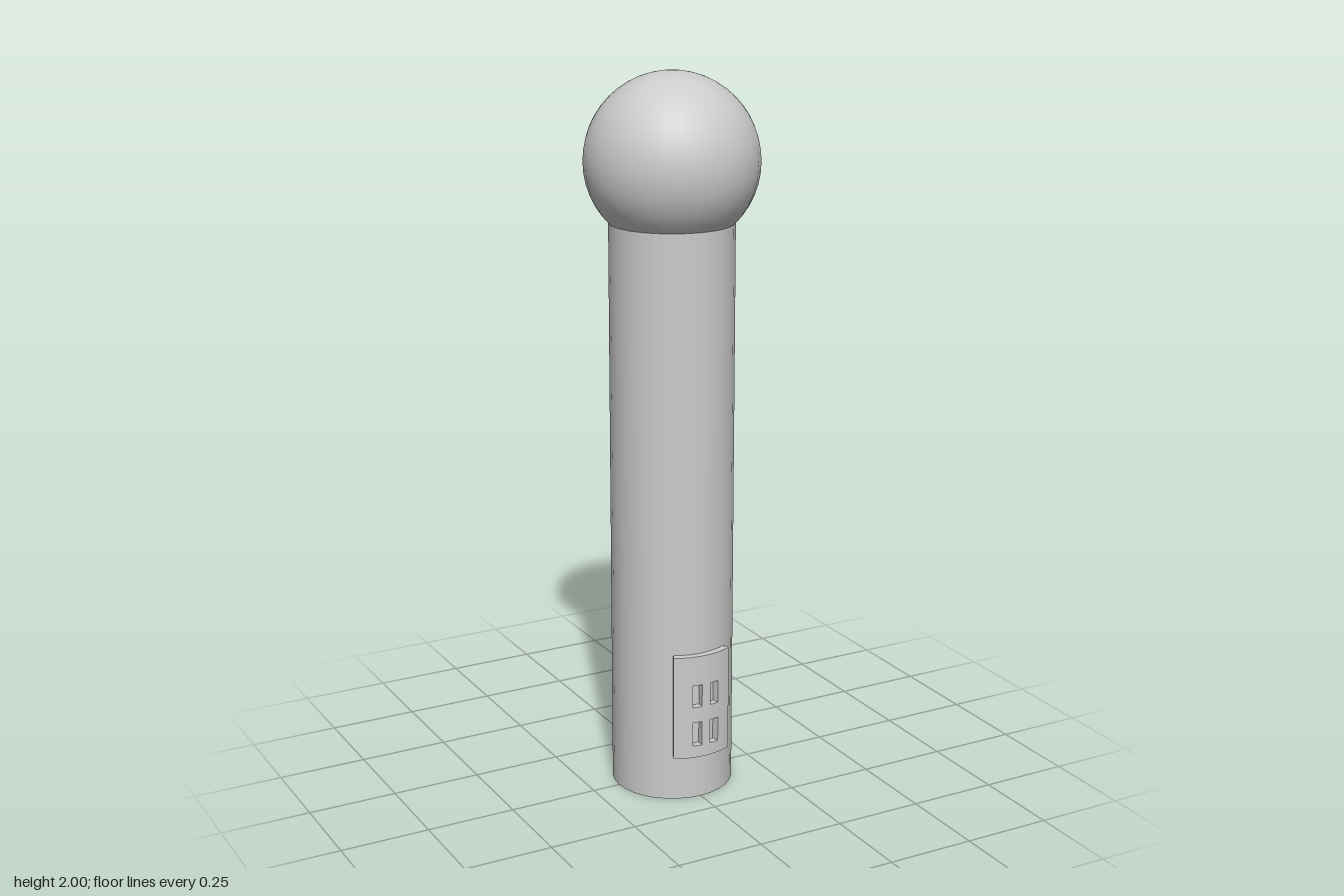
import * as THREE from 'three';
import { toCreasedNormals } from 'three/addons/utils/BufferGeometryUtils.js';

const COLUMN_R = 0.17, PLATE_R = 0.19;

export function createModel() {
  const group = new THREE.Group();
  const material = new THREE.MeshStandardMaterial({ color: 0xcccccc });

  function add(name, geometry, parent = group) {
    const mesh = new THREE.Mesh(geometry, material);
    mesh.name = name;
    parent.add(mesh);
    return mesh;
  }

  // Curved block hugging the column; angles are measured from +z towards +x
  function curvedBlock(a0, a1, y0, y1, r0, r1) {
    const shape = new THREE.Shape();
    shape.absarc(0, 0, r1, a0 - Math.PI / 2, a1 - Math.PI / 2, false);
    shape.absarc(0, 0, r0, a1 - Math.PI / 2, a0 - Math.PI / 2, true);
    const geometry = new THREE.ExtrudeGeometry(shape, {
      depth: y1 - y0, bevelEnabled: false, curveSegments: 6,
    });
    geometry.rotateX(-Math.PI / 2).translate(0, y0, 0);
    return toCreasedNormals(geometry, 0.6);
  }

  // Post and ball head
  add('column', new THREE.CylinderGeometry(COLUMN_R, COLUMN_R, 1.605, 32)).position.y = 0.8025;
  add('ballHead', new THREE.SphereGeometry(0.236, 32, 24)).position.y = 1.764;

  // Curved access plate, assembled around two columns of two slots
  const plate = new THREE.Group();
  plate.name = 'accessPlate';
  group.add(plate);
  const angles = [-0.087, -0.035, -0.008, 0.018, 0.045, 0.087].map((x) => Math.asin(x / PLATE_R));
  const solid = [[0.13, 0.43]];
  const slotted = [[0.13, 0.165], [0.235, 0.28], [0.345, 0.43]];
  for (let i = 0; i < 5; i++) {
    for (const [y0, y1] of i % 2 ? slotted : solid) {
      add(i % 2 ? 'slotBridge' : 'plateStrip',
        curvedBlock(angles[i], angles[i + 1], y0, y1, COLUMN_R - 0.004, PLATE_R), plate);
    }
  }

  // Small latch on the plate's left edge
  add('latch', curvedBlock(angles[5] - 0.01, angles[5] + 0.03, 0.255, 0.325, COLUMN_R - 0.004, PLATE_R - 0.002), plate);

  return group;
}
